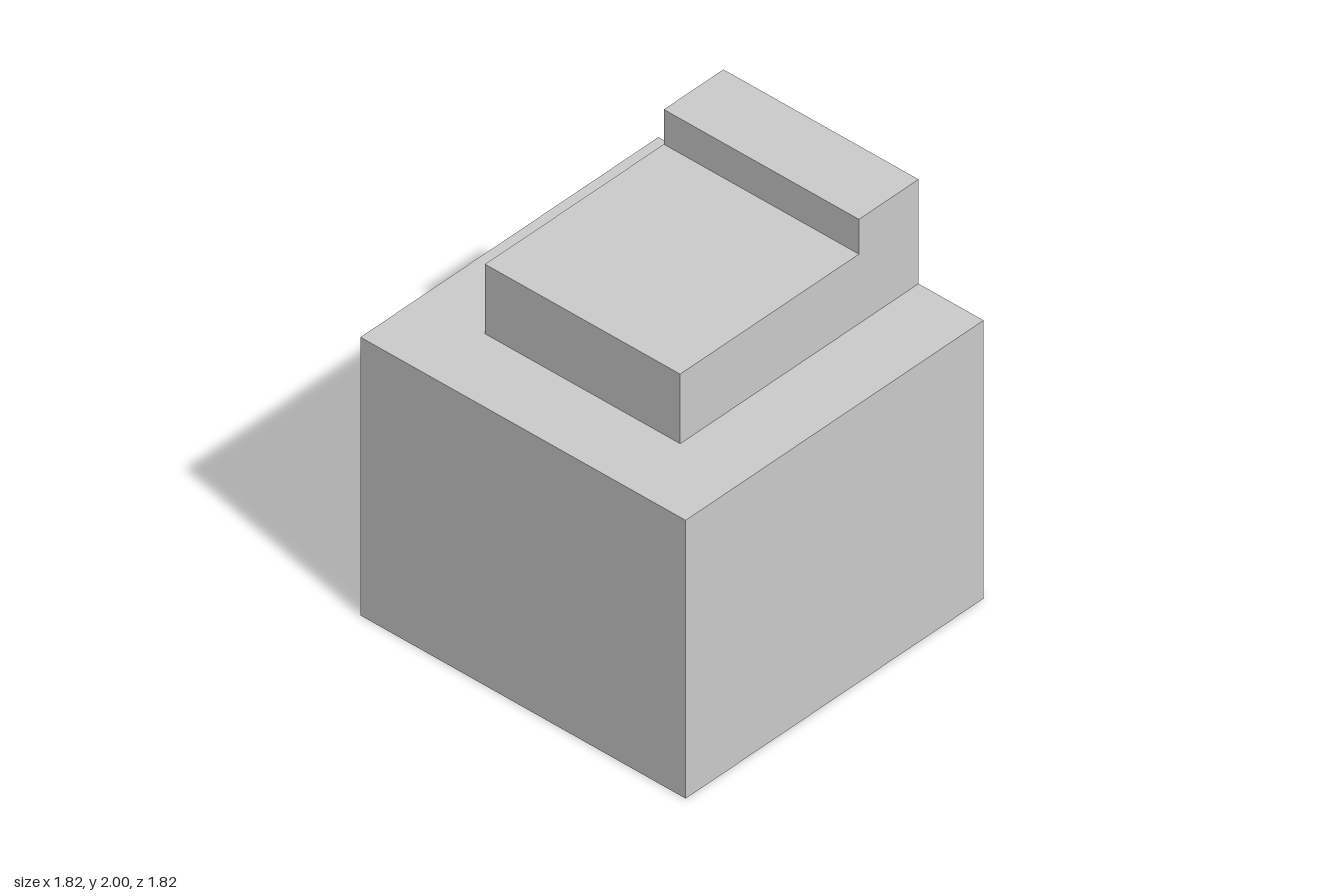
import * as THREE from 'three';

// Every dimension is a whole number of units; the model is 11 units tall.
const U = 2 / 11;

export function createModel() {
  const group = new THREE.Group();
  const material = new THREE.MeshStandardMaterial({ color: 0xcccccc, flatShading: true });

  // Large base block
  const base = new THREE.Mesh(new THREE.BoxGeometry(10 * U, 8 * U, 10 * U), material);
  base.name = 'baseBlock';
  base.position.y = 4 * U;
  group.add(base);

  // Stepped top: low platform with a raised ridge flush with the left (+x) side
  const profile = new THREE.Shape(
    [[-3, 8], [5, 8], [5, 11], [3, 11], [3, 10], [-3, 10]]
      .map(([x, y]) => new THREE.Vector2(x * U, y * U))
  );
  const top = new THREE.Mesh(
    new THREE.ExtrudeGeometry(profile, { depth: 6 * U, bevelEnabled: false }),
    material
  );
  top.name = 'steppedTop';
  top.position.z = -3 * U;
  group.add(top);

  return group;
}
